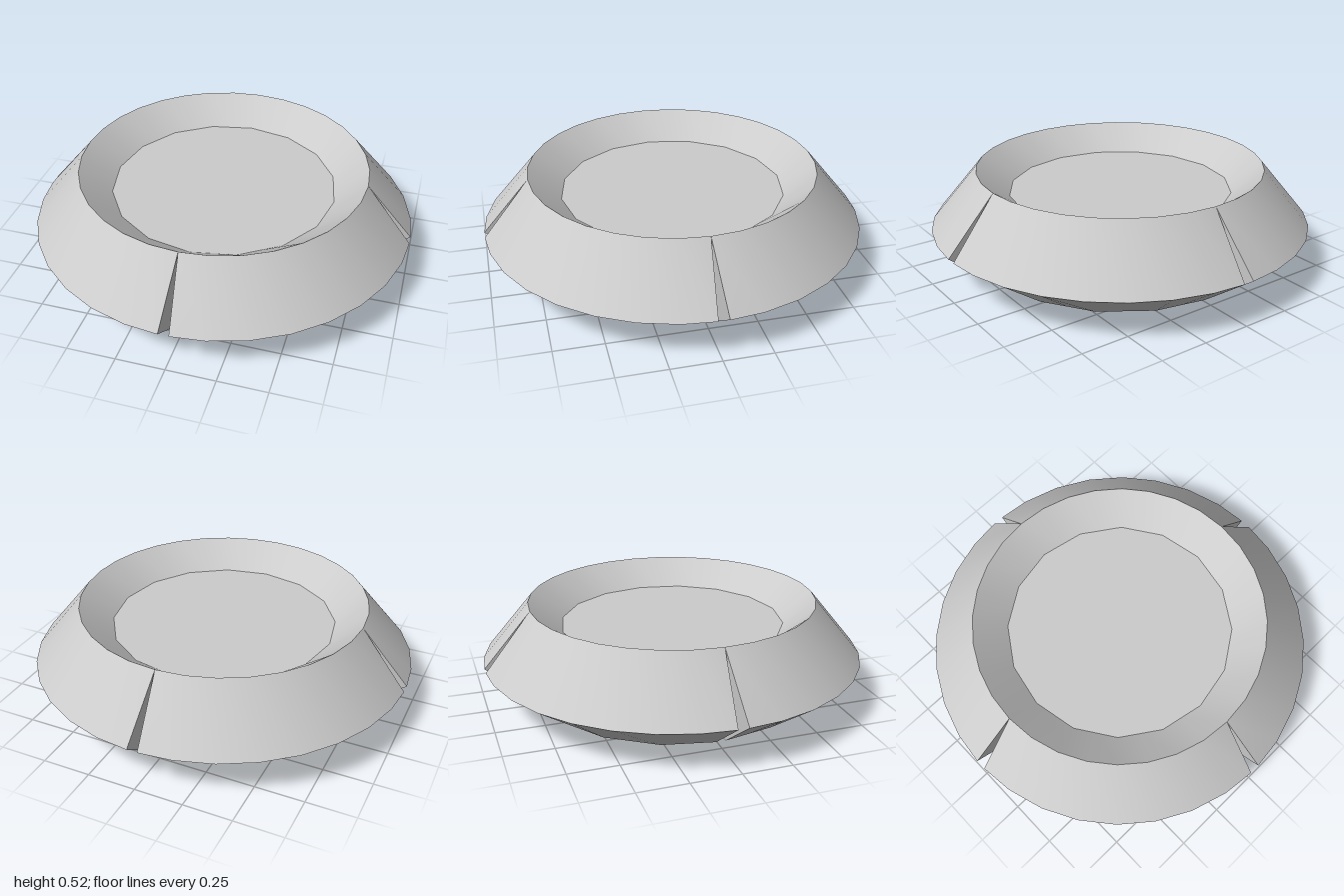
import * as THREE from 'three';
import { toCreasedNormals } from 'three/addons/utils/BufferGeometryUtils.js';

const STEPS = 8; // angular steps per quarter

// Rings from the dish centre, over the rim, to the underside centre.
// coarse rings have 16 sides, the others 32; gap is half the notch width
const RINGS = {
  dishCentre: { r: 0, y: 0.387 },
  dishEdge: { r: 0.59, y: 0.387, coarse: true },
  rim: { r: 0.755, y: 0.52 },
  outer: { r: 1.0, y: 0.225, gap: 0.027 },
  base: { r: 0.735, y: 0.03, gap: 0.024, coarse: true },
  foot: { r: 0.31, y: 0, coarse: true },
  footCentre: { r: 0, y: 0 },
};

// Point i (0..STEPS) of a ring within quarter q
function point(ring, q, i) {
  if (ring.coarse && i % 2) {
    return point(ring, q, i - 1).lerp(point(ring, q, i + 1), 0.5);
  }
  let a = (q + i / STEPS) * Math.PI / 2;
  const shift = ring.gap ? Math.asin(ring.gap / ring.r) : 0;
  if (i === 0) a += shift;
  if (i === STEPS) a -= shift;
  return new THREE.Vector3(ring.r * Math.cos(a), ring.y, -ring.r * Math.sin(a));
}

function makeMesh(name, points, material) {
  const geometry = new THREE.BufferGeometry().setFromPoints(points);
  const mesh = new THREE.Mesh(toCreasedNormals(geometry, 0.45), material);
  mesh.name = name;
  return mesh;
}

// Band of faces between two rings, all the way round
function band(name, a, b, material) {
  const pts = [];
  for (let q = 0; q < 4; q++) {
    for (let i = 0; i < STEPS; i++) {
      const a0 = point(a, q, i), a1 = point(a, q, i + 1);
      const b0 = point(b, q, i), b1 = point(b, q, i + 1);
      if (b.r > 0) pts.push(a0, b0, b1);
      if (a.r > 0) pts.push(a0, b.r > 0 ? b1 : b0, a1);
    }
  }
  return makeMesh(name, pts, material);
}

// The two side walls of the wedge notches, at both ends of each quarter
function notchWalls(material) {
  const { rim, outer, base, foot } = RINGS;
  const pts = [];
  for (let q = 0; q < 4; q++) {
    for (const i of [0, STEPS]) {
      const [r, o, b, f] = [rim, outer, base, foot].map((ring) => point(ring, q, i));
      if (i === 0) pts.push(r, f, b, r, b, o);
      else pts.push(r, b, f, r, o, b);
    }
  }
  return makeMesh('notchWalls', pts, material);
}

export function createModel() {
  const group = new THREE.Group();
  group.name = 'notchedDish';
  const material = new THREE.MeshStandardMaterial({ color: 0xcccccc });
  const R = RINGS;
  group.add(
    band('dishFloor', R.dishCentre, R.dishEdge, material),
    band('dishWall', R.dishEdge, R.rim, material),
    band('upperSlope', R.rim, R.outer, material),
    band('lowerSlope', R.outer, R.base, material),
    band('underside', R.base, R.foot, material),
    band('foot', R.foot, R.footCentre, material),
    notchWalls(material),
  );
  return group;
}
